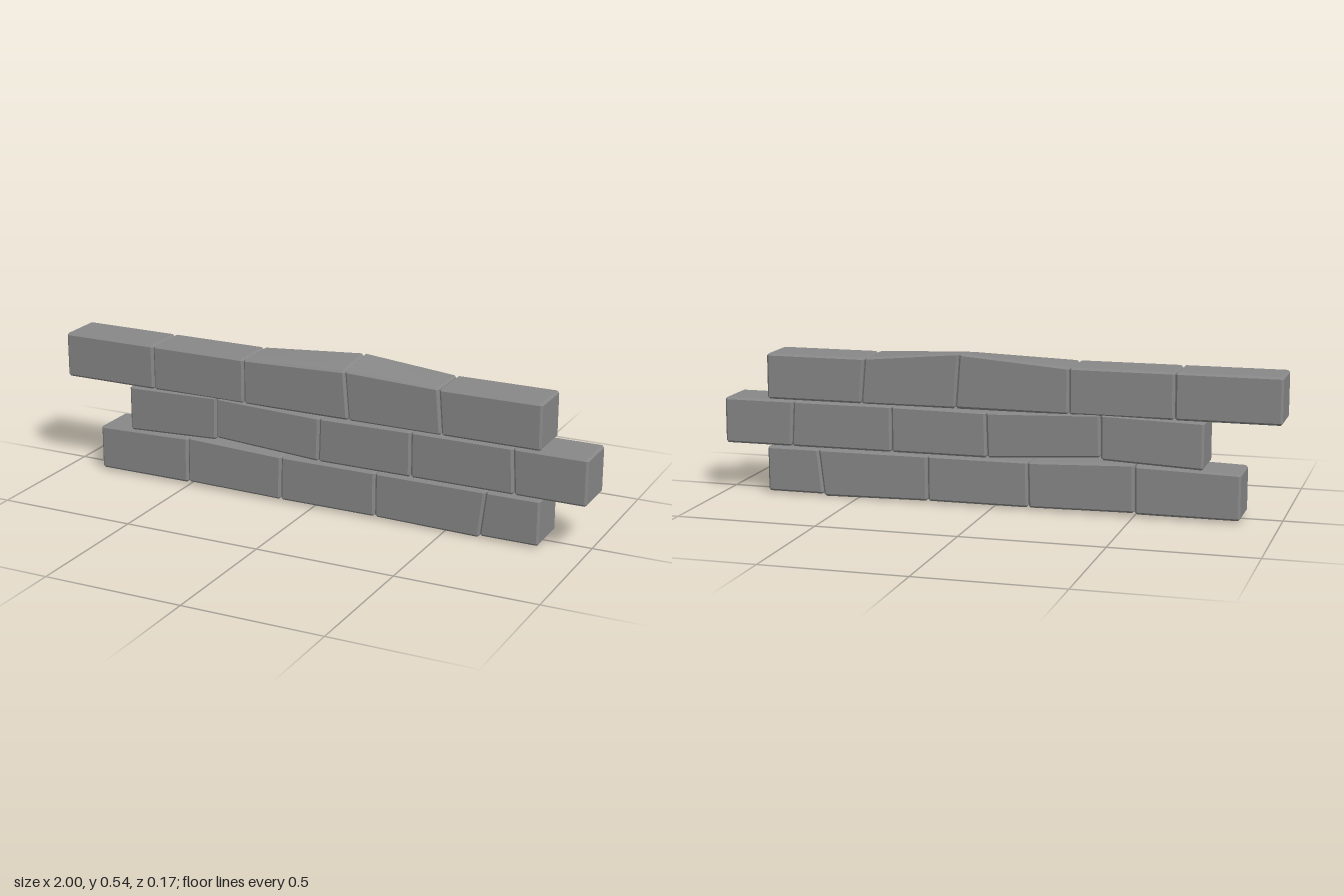
import * as THREE from 'three';
import { ConvexGeometry } from 'three/addons/geometries/ConvexGeometry.js';
import { toCreasedNormals } from 'three/addons/utils/BufferGeometryUtils.js';

const CHAMFER = 0.0075;
const DEPTH = 0.166;

// Each brick: x of [bottom left, bottom right, top right, top left],
// y of the same corners, then optional drop of the front top corners [right, left].
const courses = {
  lowerCourse: [
    { x: [-0.866, -0.504, -0.502, -0.866], y: [0.008, 0.008, 0.18, 0.17] },
    { x: [-0.502, -0.129, -0.125, -0.5], y: [0.012, 0.007, 0.17, 0.184] },
    { x: [-0.127, 0.237, 0.238, -0.123], y: [0.007, 0.007, 0.171, 0.171] },
    { x: [0.239, 0.626, 0.646, 0.24], y: [0.007, 0, 0.171, 0.171] },
    { x: [0.628, 0.839, 0.839, 0.648], y: [0.007, 0.007, 0.171, 0.171] },
  ],
  middleCourse: [
    { x: [-0.738, -0.384, -0.381, -0.738], y: [0.175, 0.191, 0.35, 0.341] },
    { x: [-0.382, 0.02, 0.025, -0.379], y: [0.199, 0.175, 0.337, 0.35] },
    { x: [0.022, 0.37, 0.37, 0.027], y: [0.175, 0.175, 0.341, 0.337] },
    { x: [0.372, 0.746, 0.737, 0.372], y: [0.175, 0.175, 0.341, 0.341] },
    { x: [0.748, 1, 1, 0.739], y: [0.175, 0.175, 0.341, 0.341] },
  ],
  upperCourse: [
    { x: [-1, -0.637, -0.637, -1], y: [0.343, 0.343, 0.507, 0.507] },
    { x: [-0.635, -0.271, -0.271, -0.635], y: [0.343, 0.343, 0.507, 0.507] },
    { x: [-0.269, 0.135, 0.12, -0.269], y: [0.343, 0.343, 0.539, 0.507], drop: [0.02, 0] },
    { x: [0.137, 0.481, 0.467, 0.122], y: [0.343, 0.343, 0.507, 0.54], drop: [0, 0.02] },
    { x: [0.483, 0.836, 0.836, 0.47], y: [0.343, 0.343, 0.507, 0.507] },
  ],
};

// Chamfered block warped between its eight corners
function brickGeometry({ x, y, drop = [0, 0] }) {
  const lerp = THREE.MathUtils.lerp;
  const size = [x[1] - x[0], y[3] - y[0], DEPTH];
  const warp = ([u, v, w]) => {
    const topRight = y[2] - drop[0] * w;
    const topLeft = y[3] - drop[1] * w;
    return new THREE.Vector3(
      lerp(lerp(x[0], x[1], u), lerp(x[3], x[2], u), v),
      lerp(lerp(y[0], y[1], u), lerp(topLeft, topRight, u), v),
      (w - 0.5) * DEPTH
    );
  };
  const points = [];
  for (let corner = 0; corner < 8; corner++) {
    const end = [corner & 1, (corner >> 1) & 1, corner >> 2];
    // three points per corner, each lying on one of its faces
    for (let face = 0; face < 3; face++) {
      points.push(warp(end.map((e, axis) => {
        const inset = axis === face ? 0 : CHAMFER / size[axis];
        return e ? 1 - inset : inset;
      })));
    }
  }
  // smooth across the slightly twisted tops, crisp at the chamfers
  return toCreasedNormals(new ConvexGeometry(points), 0.35);
}

export function createModel() {
  const wall = new THREE.Group();
  wall.name = 'brickWall';
  const material = new THREE.MeshStandardMaterial({ color: 0x888888 });
  for (const [name, bricks] of Object.entries(courses)) {
    const course = new THREE.Group();
    course.name = name;
    bricks.forEach((brick, i) => {
      const mesh = new THREE.Mesh(brickGeometry(brick), material);
      mesh.name = `brick${i + 1}`;
      course.add(mesh);
    });
    wall.add(course);
  }
  return wall;
}
